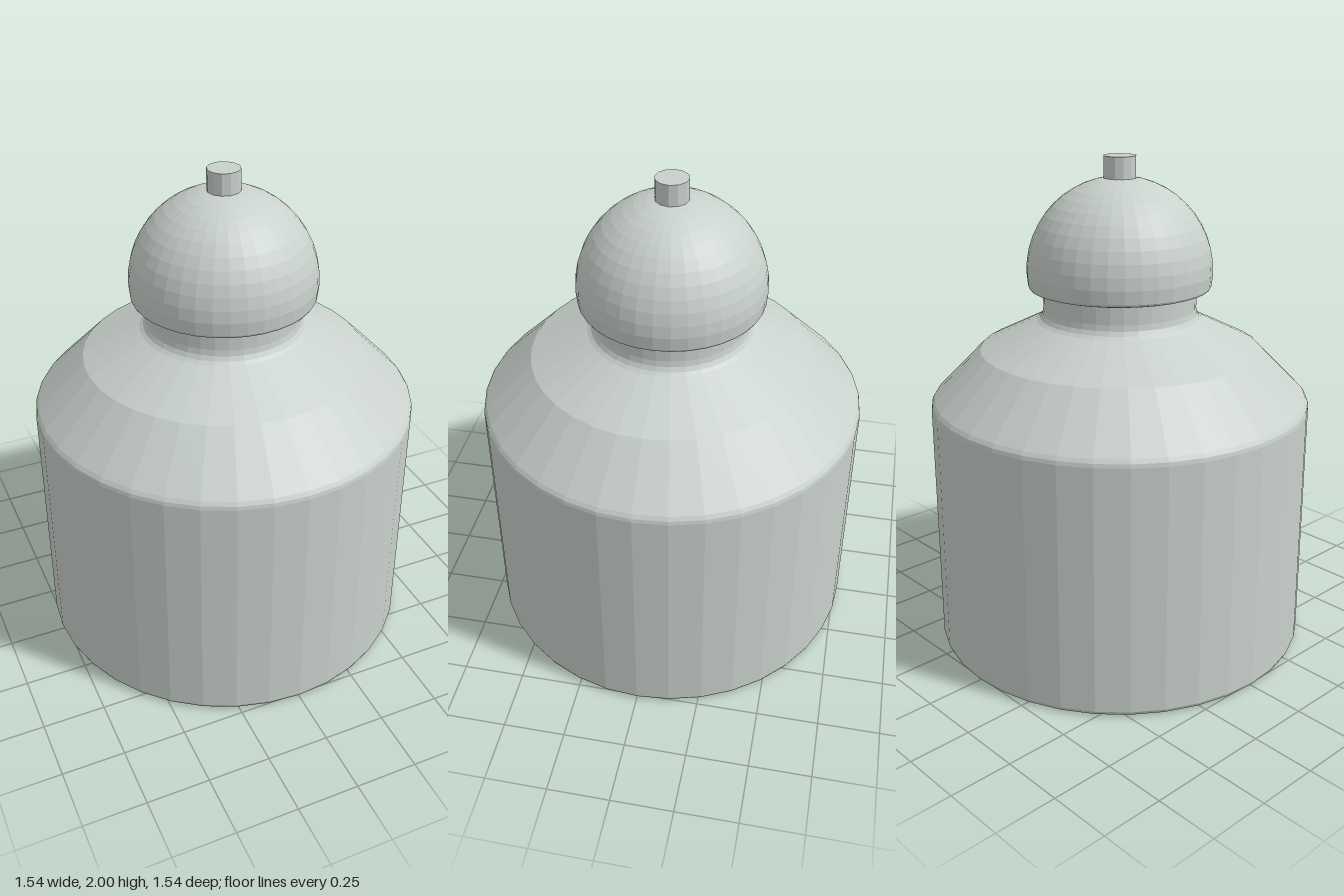
import * as THREE from 'three';

const SIDES = 36;

export function createModel() {
  const model = new THREE.Group();
  const metal = new THREE.MeshStandardMaterial({ color: 0xc9d1cc, flatShading: true });
  metal.name = 'pale grey metal';

  // Turn a profile of [radius, height] points around the y axis
  const turned = (name, points, sides) => {
    const profile = points.map(([r, y]) => new THREE.Vector2(r, y));
    const mesh = new THREE.Mesh(new THREE.LatheGeometry(profile, sides), metal);
    mesh.name = name;
    model.add(mesh);
  };

  // Cylindrical body with rounded edges, two-step shoulder and neck
  turned('body', [
    [0, 0], [0.75, 0], [0.764, 0.006], [0.77, 0.02],
    [0.77, 1.015], [0.767, 1.03], [0.757, 1.045],
    [0.565, 1.24], [0.335, 1.354], [0.321, 1.365], [0.311, 1.382], [0.307, 1.405],
    [0.307, 1.5],
  ], SIDES);

  // Domed cap: flat underside, small rim bevel, then a hemisphere
  const capRadius = 0.371, capCentre = 1.55;
  const cap = [[0, 1.485], [0.352, 1.485], [0.361, 1.488], [0.366, 1.497]];
  const rings = 12;
  for (let i = 0; i <= rings; i++) {
    const a = (i / rings) * Math.PI / 2;
    cap.push([i === rings ? 0 : capRadius * Math.cos(a), capCentre + capRadius * Math.sin(a)]);
  }
  turned('cap', cap, SIDES);

  // Small stem on top
  turned('stem', [[0, 1.88], [0.065, 1.88], [0.065, 2], [0, 2]], 12);

  return model;
}
